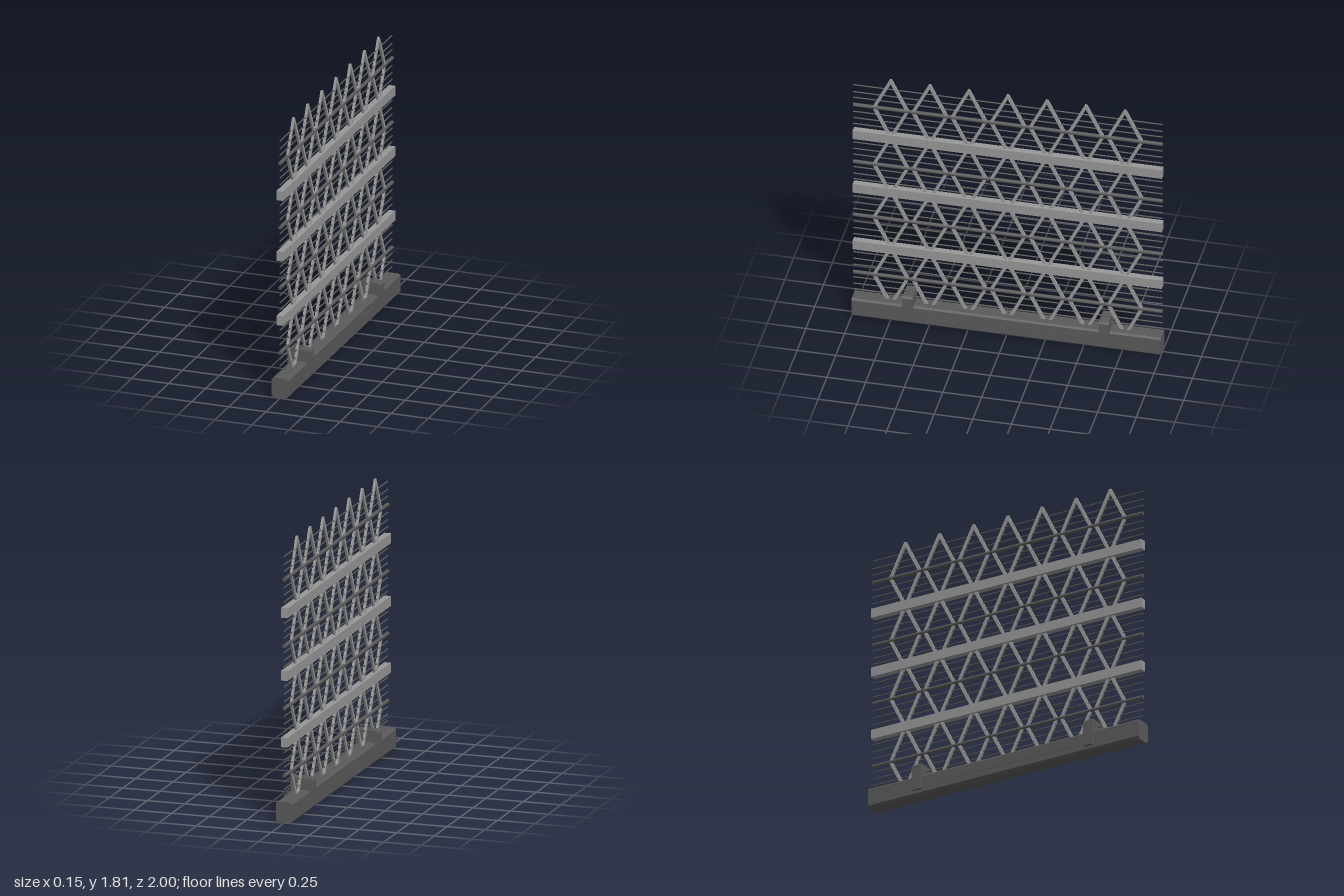
import * as THREE from 'three';

export function createModel() {
  const model = new THREE.Group();
  const steel = new THREE.MeshStandardMaterial({ color: 0x989898 });
  steel.name = 'light steel';
  const iron = new THREE.MeshStandardMaterial({ color: 0x5a5a5a });
  iron.name = 'dark iron';

  const add = (name, geometry, material, x = 0, y = 0, z = 0) => {
    const mesh = new THREE.Mesh(geometry, material);
    mesh.name = name;
    mesh.position.set(x, y, z);
    model.add(mesh);
    return mesh;
  };
  const shapeOf = (points) => new THREE.Shape(points.map(([a, b]) => new THREE.Vector2(a, b)));
  const extrude = (shape, depth) => new THREE.ExtrudeGeometry(shape, { depth, bevelEnabled: false })
    .translate(0, 0, -depth / 2);

  // Cross-section in x and y with cut top and bottom corners
  const cutSection = (hw, y0, y1, bottomCut, topCut) => shapeOf([
    [-hw + bottomCut, y0], [hw - bottomCut, y0], [hw, y0 + bottomCut], [hw, y1 - topCut],
    [hw - topCut, y1], [-hw + topCut, y1], [-hw, y1 - topCut], [-hw, y0 + bottomCut],
  ]);

  // Base beam, with a long raised strip on each side
  add('baseBeam', extrude(cutSection(0.056, 0, 0.135, 0.016, 0.011), 2), iron);
  for (const side of [-1, 1]) {
    add('sideStrip', new THREE.BoxGeometry(0.006, 0.035, 1.01), iron, side * 0.056, 0.073, 0);
  }

  // Brackets straddling the base
  const bracket = extrude(cutSection(0.074, 0.035, 0.212, 0, 0.012), 0.066);
  for (const z of [-0.634, 0.634]) add('bracket', bracket, iron, 0, 0, z);

  // Square rails
  const rail = new THREE.BoxGeometry(0.044, 0.064, 2);
  for (const y of [0.524, 0.958, 1.367]) add('rail', rail, steel, 0, y, 0);

  // Round rods and thin wires
  const rod = new THREE.CylinderGeometry(0.0125, 0.0125, 2, 12).rotateX(Math.PI / 2);
  const wire = new THREE.CylinderGeometry(0.0045, 0.0045, 2, 8).rotateX(Math.PI / 2);
  const rows = [0.307, 0.745, 1.151, 1.585];
  for (const y of rows) add('rod', rod, iron, 0, y, 0);
  const wires = [
    0.176, 0.219, 0.267, 0.363, 0.409, 0.459, 0.598, 0.644, 0.694, 0.79, 0.839, 0.887,
    1.018, 1.06, 1.11, 1.205, 1.25, 1.298, 1.44, 1.485, 1.533, 1.64, 1.683, 1.736,
  ];
  for (const y of wires) add('wire', wire, iron, 0, y, 0);

  // Diamond lattice: open frames with blunt tips
  const hz = 0.12, hy = 0.24, tipY = 0.226, tipZ = 0.116;
  const flatZ = hz * (1 - tipY / hy), flatY = hy * (1 - tipZ / hz);
  const diamond = shapeOf([
    [-flatZ, -tipY], [flatZ, -tipY], [tipZ, -flatY], [tipZ, flatY],
    [flatZ, tipY], [-flatZ, tipY], [-tipZ, flatY], [-tipZ, -flatY],
  ]);
  const k = 0.81;
  diamond.holes.push(new THREE.Path([[0, -hy * k], [-hz * k, 0], [0, hy * k], [hz * k, 0]]
    .map(([a, b]) => new THREE.Vector2(a, b))));
  const frame = extrude(diamond, 0.014).rotateY(Math.PI / 2);
  for (const y of rows) {
    for (let i = -3; i <= 3; i++) add('latticeDiamond', frame, steel, 0, y, i * 0.2525);
  }

  return model;
}
